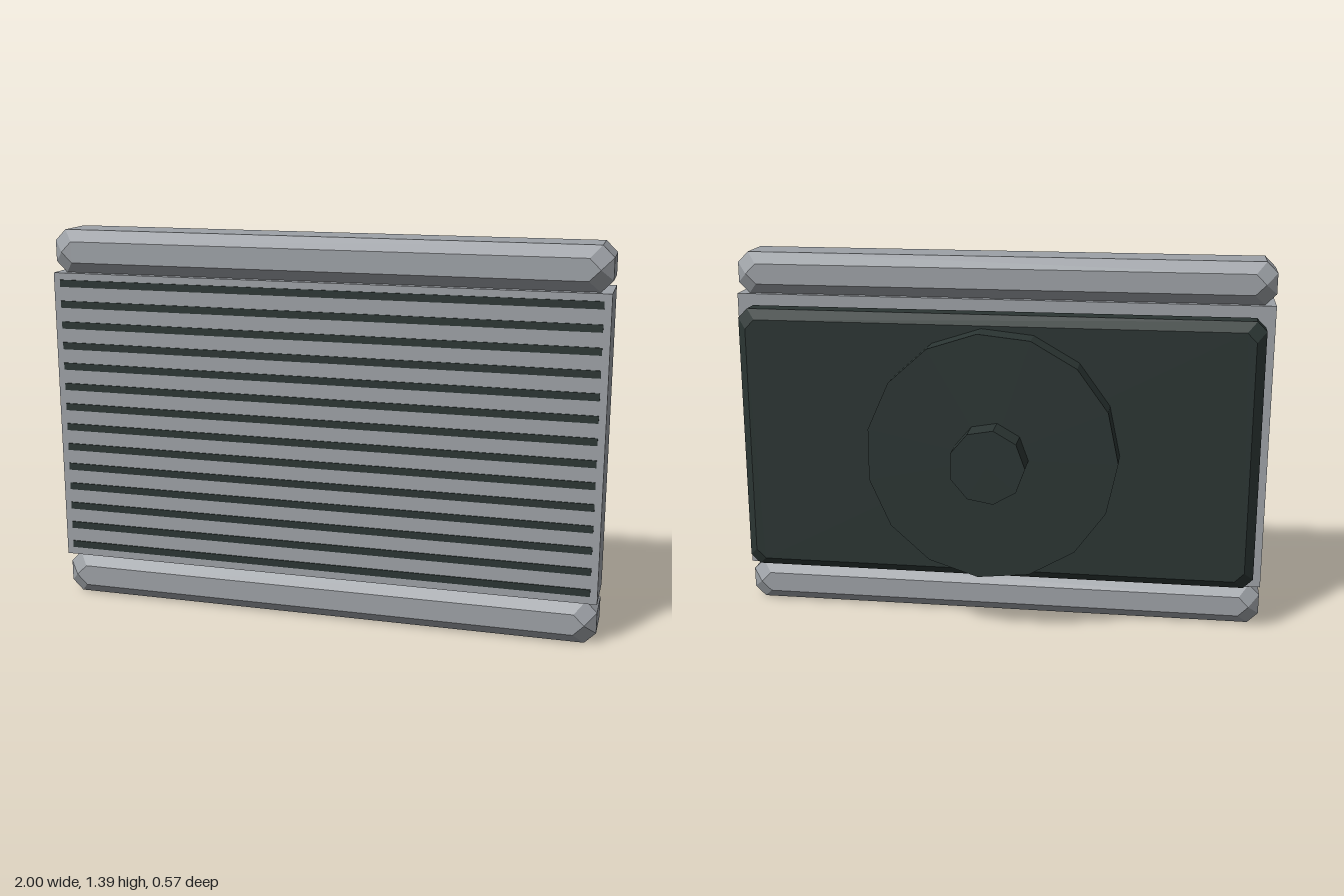
import * as THREE from 'three';
import { ConvexGeometry } from 'three/addons/geometries/ConvexGeometry.js';

// Box with chamfered edges and clipped corners, as the hull of stacked octagons
function chamferedBox(w, h, d, c) {
  const points = [];
  const octagon = (hw, hh, z) => {
    const k = Math.min(c, hh);
    for (const sx of [-1, 1]) for (const sy of [-1, 1]) {
      points.push(new THREE.Vector3(sx * hw, sy * (hh - k), z));
      points.push(new THREE.Vector3(sx * (hw - k), sy * hh, z));
    }
  };
  for (const s of [-1, 1]) {
    octagon(w / 2, h / 2, s * (d / 2 - c));
    octagon(w / 2 - c, h / 2 - c, s * d / 2);
  }
  return new ConvexGeometry(points);
}

// Faceted disc facing the back, with one corner pointing to -x
function disc(radius, depth, sides) {
  return new THREE.CylinderGeometry(radius, radius, depth, sides, 1, false, -Math.PI / 2)
    .rotateX(Math.PI / 2);
}

export function createModel() {
  const group = new THREE.Group();
  const metal = new THREE.MeshStandardMaterial({ color: 0x9da1a6, flatShading: true });
  metal.name = 'grey metal';
  const dark = new THREE.MeshStandardMaterial({ color: 0x2b3533, flatShading: true });
  dark.name = 'dark plastic';

  const add = (name, geometry, material, x, y, z) => {
    const mesh = new THREE.Mesh(geometry, material);
    mesh.name = name;
    mesh.position.set(x, y, z);
    group.add(mesh);
  };

  // Core and the two end tanks
  add('core', new THREE.BoxGeometry(2, 1.08, 0.21), metal, 0, 0.697, 0.17);
  const tank = chamferedBox(2, 0.156, 0.235, 0.04);
  add('bottomTank', tank, metal, 0, 0.078, 0.168);
  add('topTank', tank, metal, 0, 1.314, 0.168);

  // Dark cooling slots across the front
  const slot = new THREE.BoxGeometry(1.95, 0.026, 0.008);
  for (let i = 0; i < 14; i++) {
    add('slot' + (i + 1), slot, dark, 0, 0.198 + i * 0.077, 0.275);
  }

  // Fan shroud, fan disc and hub on the back
  add('shroud', chamferedBox(1.93, 1.006, 0.142, 0.035), dark, 0, 0.697, -0.006);
  add('fanDisc', disc(0.461, 0.108, 15), dark, 0, 0.697, -0.126);
  add('hub', disc(0.138, 0.11, 9), dark, 0, 0.697, -0.23);

  return group;
}
